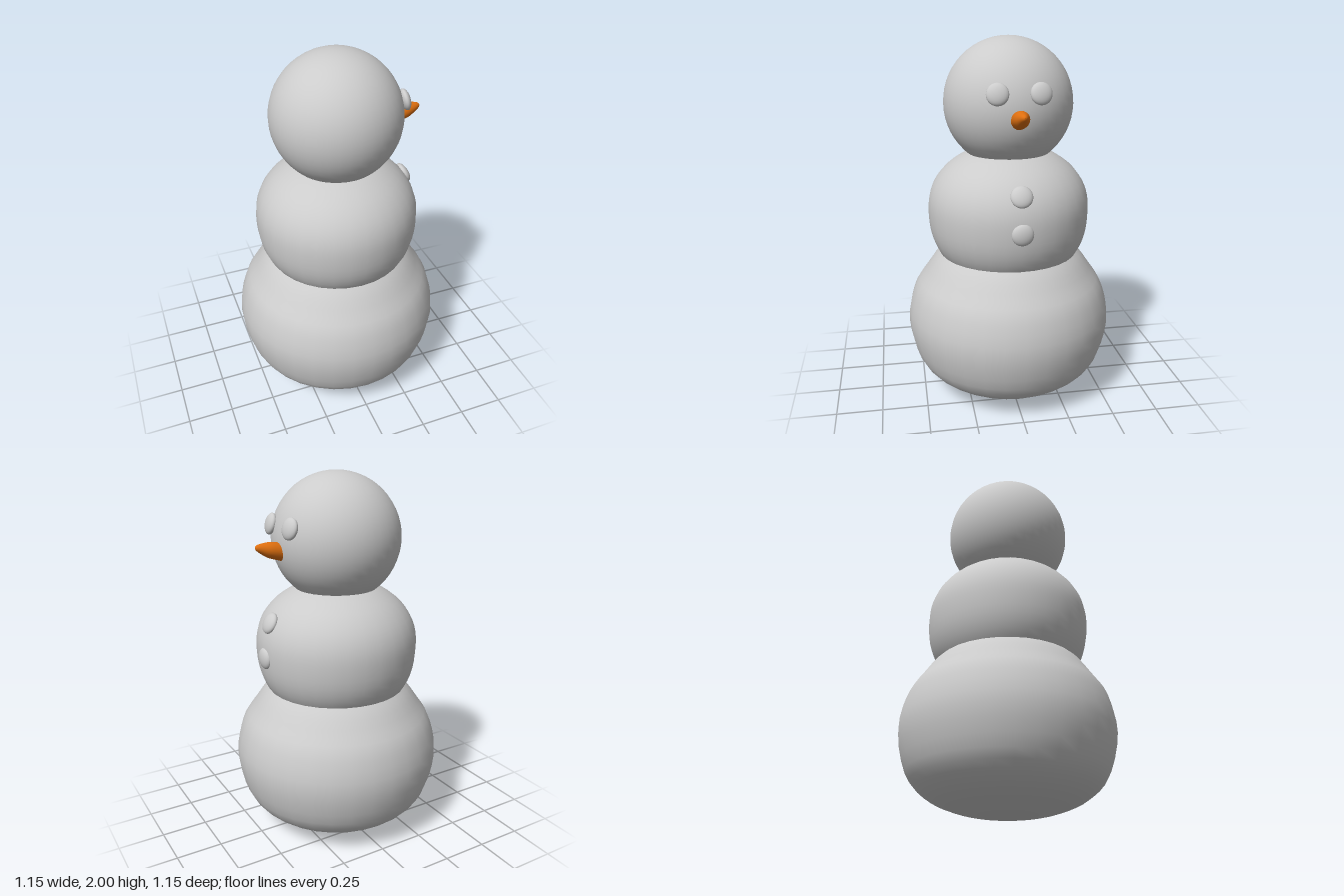
import * as THREE from 'three';

const snow = new THREE.MeshStandardMaterial({ color: 0xcccccc });
const orange = new THREE.MeshStandardMaterial({ color: 0xe07010 });

// Smooth turned solid from a few [radius, height] points, bottom to top
function turned(name, points, material, segments = 32, steps = 32) {
  const curve = new THREE.SplineCurve(points.map(([r, y]) => new THREE.Vector2(r, y)));
  const profile = curve.getPoints(steps).map((p) => new THREE.Vector2(Math.max(p.x, 0), p.y));
  profile[0].x = profile[profile.length - 1].x = 0;
  const mesh = new THREE.Mesh(new THREE.LatheGeometry(profile, segments), material);
  mesh.name = name;
  return mesh;
}

// Flattened pebble whose thin axis points along the given direction
function pebble(name, radius, position, direction) {
  const geometry = new THREE.SphereGeometry(radius, 24, 16);
  geometry.scale(0.46, 1, 1);
  const mesh = new THREE.Mesh(geometry, snow);
  mesh.name = name;
  mesh.position.set(...position);
  mesh.quaternion.setFromUnitVectors(
    new THREE.Vector3(1, 0, 0), new THREE.Vector3(...direction).normalize());
  return mesh;
}

export function createModel() {
  const model = new THREE.Group();
  model.name = 'snowman';

  // Three stacked snowballs, the lower two slightly squashed
  model.add(turned('lowerBody', [
    [0, 0], [0.15, 0.012], [0.29, 0.04], [0.425, 0.1], [0.525, 0.21], [0.575, 0.42],
    [0.542, 0.6], [0.475, 0.71], [0.385, 0.825], [0.25, 0.9], [0, 0.94],
  ], snow));
  model.add(turned('middleBody', [
    [0, 0.64], [0.16, 0.66], [0.3, 0.73], [0.385, 0.825], [0.43, 0.93], [0.445, 1.05],
    [0.437, 1.15], [0.4, 1.24], [0.33, 1.32], [0.225, 1.385], [0.12, 1.41], [0, 1.42],
  ], snow));
  const head = new THREE.Mesh(new THREE.SphereGeometry(0.348, 40, 28), snow);
  head.name = 'head';
  head.position.y = 1.652;
  model.add(head);

  // Carrot nose, tipped slightly upward
  const nose = turned('nose', [
    [0, 0], [0.042, 0.002], [0.045, 0.04], [0.041, 0.09], [0.029, 0.13], [0.014, 0.163], [0, 0.172],
  ], orange, 20, 24);
  nose.position.set(0.305, 1.598, 0);
  nose.rotation.z = -Math.PI / 2 + 0.23;
  model.add(nose);

  // Eyes, mirrored across the face
  for (const side of [1, -1]) {
    model.add(pebble(side > 0 ? 'eyeFront' : 'eyeBack', 0.057,
      [0.331, 1.733, side * 0.109], [0.32, 0.085, side * 0.05]));
  }

  // Buttons down the chest
  model.add(pebble('upperButton', 0.058, [0.404, 1.234, 0], [0.85, 0.45, 0]));
  model.add(pebble('lowerButton', 0.058, [0.438, 1.045, 0], [1, 0, 0]));

  return model;
}
